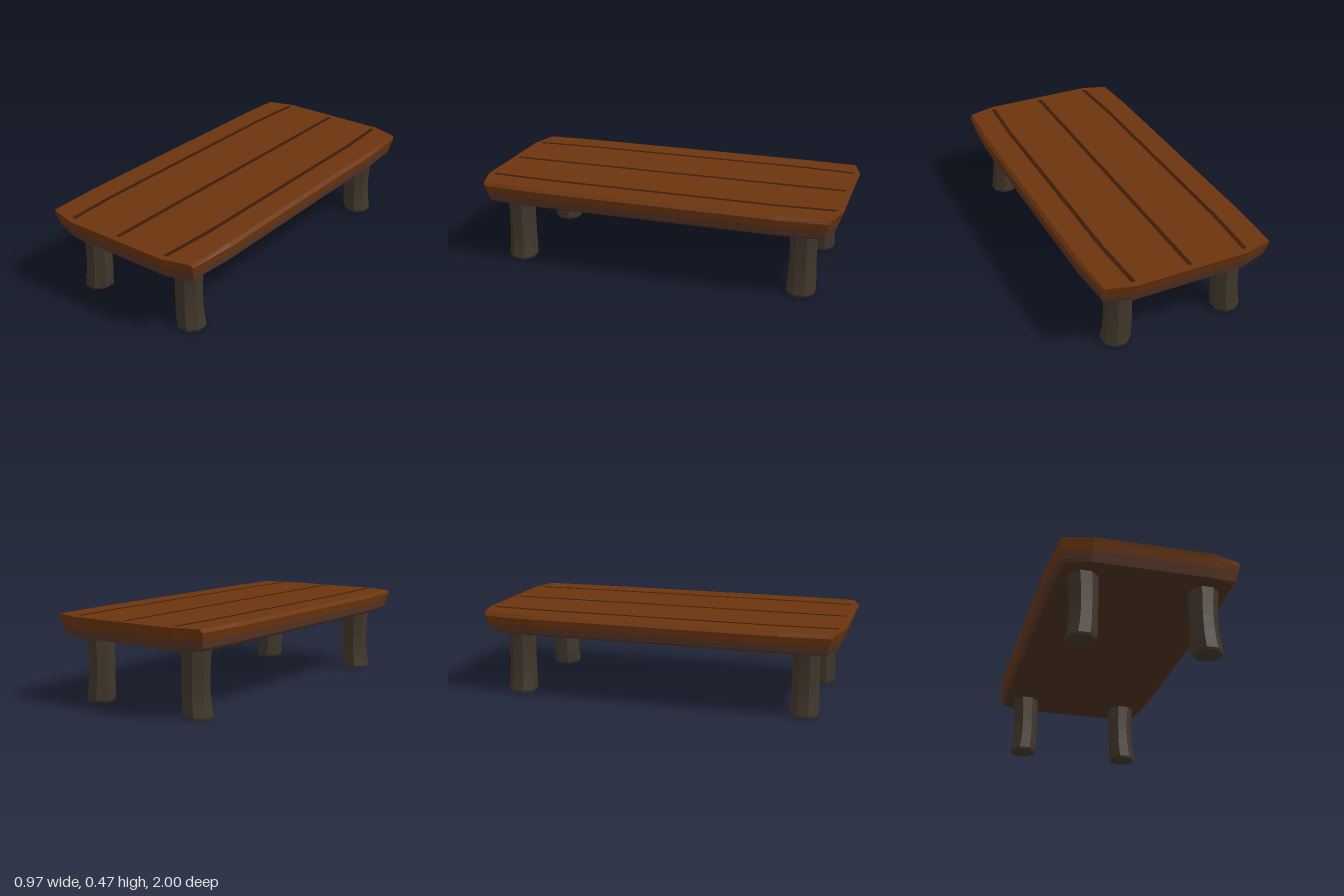
import * as THREE from 'three';

const mat = (color) => new THREE.MeshStandardMaterial({ color, flatShading: true, roughness: 0.9 });

// Skin a stack of closed rings (bottom to top, each running from +x towards +z), with optional end caps
function loft(rings, capBottom, capTop) {
  const pos = [];
  const tri = (a, b, c) => pos.push(...a, ...b, ...c);
  const n = rings[0].length;
  for (let r = 0; r < rings.length - 1; r++) {
    for (let i = 0; i < n; i++) {
      const j = (i + 1) % n, lo = rings[r], hi = rings[r + 1];
      tri(lo[i], hi[i], lo[j]);
      tri(lo[j], hi[i], hi[j]);
    }
  }
  const first = rings[0], last = rings[rings.length - 1];
  for (let i = 1; i < n - 1; i++) {
    if (capBottom) tri(first[0], first[i], first[i + 1]);
    if (capTop) tri(last[0], last[i + 1], last[i]);
  }
  const g = new THREE.BufferGeometry();
  g.setAttribute('position', new THREE.Float32BufferAttribute(pos, 3));
  g.computeVertexNormals();
  return g;
}

// Outline of the tabletop at one height: straight sides, tapered ends, clipped corners
function topRing([y, sideX, cornerX, cornerZ, endZ]) {
  const q = [[sideX, 0.68], [cornerX, cornerZ], [0.31, endZ]];
  const r = [...q].reverse();
  return [
    ...q,
    ...r.map(([x, z]) => [-x, z]),
    ...q.map(([x, z]) => [-x, -z]),
    ...r.map(([x, z]) => [x, -z]),
  ].map(([x, z]) => [x, y, z]);
}

// Octagonal leg section between an inner and outer x
function legRing(y, inner, outer, halfZ, sx, sz) {
  const cx = (inner + outer) / 2, hx = (outer - inner) / 2, k = 1 / Math.cos(Math.PI / 8);
  return Array.from({ length: 8 }, (_, i) => {
    const a = ((i + 0.5) * Math.PI) / 4;
    return [sx * cx + hx * k * Math.cos(a), y, sz * 0.804 + halfZ * k * Math.sin(a)];
  });
}

export function createModel() {
  const group = new THREE.Group();
  const add = (name, geometry, material) => {
    const m = new THREE.Mesh(geometry, material);
    m.name = name;
    group.add(m);
  };
  const wood = mat(0x6b350d), edgeWood = mat(0x573524), darkWood = mat(0x3a1c08), legWood = mat(0x40362a);
  const underWood = mat(0x4a301e);

  // Tabletop: height, side x, corner x, corner z, end z
  const levels = [
    [0.353, 0.447, 0.43, 0.92, 0.96],
    [0.37, 0.467, 0.449, 0.928, 0.966],
    [0.408, 0.475, 0.456, 0.938, 0.979],
    [0.45, 0.483, 0.466, 0.95, 0.993],
    [0.468, 0.468, 0.456, 0.957, 1.0],
  ].map(topRing);
  add('tabletop', loft(levels.slice(2), false, true), wood);
  add('tabletopLowerEdge', loft(levels.slice(0, 3), false, false), edgeWood);
  add('tabletopUnderside', loft(levels.slice(0, 1), true, false), underWood);

  // Plank seams, the outer two bowing with the sides
  for (const s of [-1, 0, 1]) {
    const zs = [-0.965, -0.65, 0.65, 0.965];
    const centre = (z) => s * (Math.abs(z) > 0.8 ? 0.309 : 0.325);
    const seam = new THREE.Shape([
      ...zs.map((z) => new THREE.Vector2(centre(z) - 0.012, -z)),
      ...[...zs].reverse().map((z) => new THREE.Vector2(centre(z) + 0.012, -z)),
    ]);
    const g = new THREE.ShapeGeometry(seam).rotateX(-Math.PI / 2).translate(0, 0.4695, 0);
    add('plankSeam', g, darkWood);
  }

  // Legs: height, inner x, outer x, half depth; flared outward at the foot
  const legProfile = [
    [0, 0.256, 0.394, 0.069],
    [0.012, 0.25, 0.397, 0.074],
    [0.06, 0.246, 0.388, 0.072],
    [0.12, 0.245, 0.381, 0.069],
    [0.19, 0.244, 0.379, 0.067],
    [0.27, 0.243, 0.382, 0.068],
    [0.356, 0.243, 0.39, 0.07],
  ];
  for (const sx of [-1, 1]) {
    for (const sz of [-1, 1]) {
      const rings = legProfile.map(([y, a, b, h]) => legRing(y, a, b, h, sx, sz));
      add((sz > 0 ? 'front' : 'back') + (sx > 0 ? 'Left' : 'Right') + 'Leg', loft(rings, true, true), legWood);
    }
  }
  return group;
}
